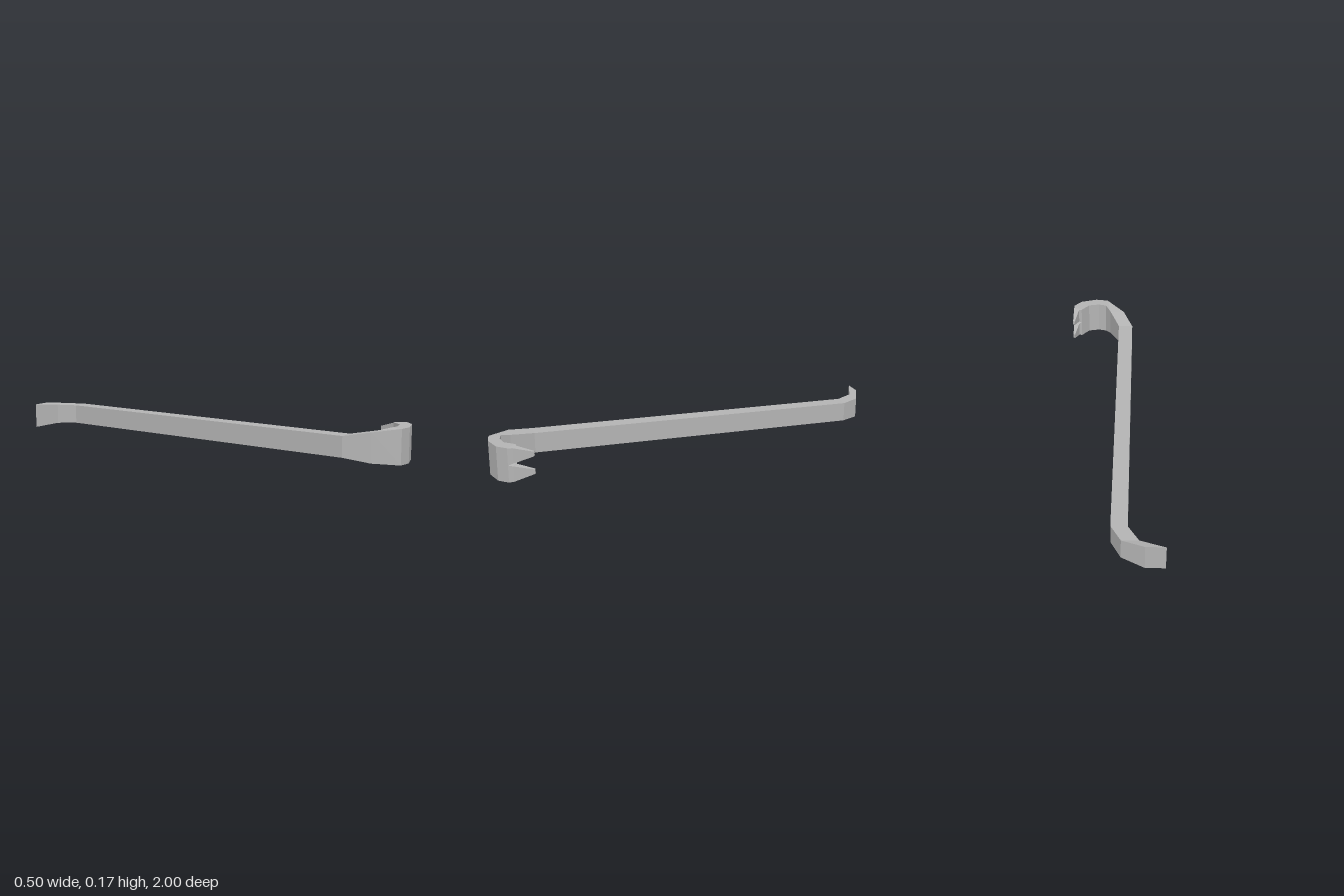
import * as THREE from 'three';

const MID_Y = 0.084;

// Lofts a four-sided bar through sections [outerX, outerZ, innerX, innerZ, low, high]
function loft(sections, startCap, endCap) {
  const rings = sections.map(([ax, az, bx, bz, low, high]) => [
    [ax, MID_Y + low, az], [bx, MID_Y + low, bz],
    [bx, MID_Y + high, bz], [ax, MID_Y + high, az],
  ]);
  const positions = [];
  const quad = (a, b, c, d) => positions.push(...a, ...b, ...c, ...a, ...c, ...d);
  for (let i = 0; i < rings.length - 1; i++) {
    for (let j = 0; j < 4; j++) {
      const k = (j + 1) % 4;
      quad(rings[i][j], rings[i][k], rings[i + 1][k], rings[i + 1][j]);
    }
  }
  if (startCap) quad(...[...rings[0]].reverse());
  if (endCap) quad(...rings[rings.length - 1]);
  const geometry = new THREE.BufferGeometry();
  geometry.setAttribute('position', new THREE.Float32BufferAttribute(positions, 3));
  geometry.computeVertexNormals();
  return geometry;
}

export function createModel() {
  const group = new THREE.Group();
  group.name = 'pryBar';
  const steel = new THREE.MeshStandardMaterial({ color: 0xb4b4b4, flatShading: true });
  steel.name = 'steel';

  const add = (name, sections, startCap = false, endCap = false) => {
    const mesh = new THREE.Mesh(loft(sections, startCap, endCap), steel);
    mesh.name = name;
    group.add(mesh);
  };
  // Section that is symmetric about the middle height
  const even = (ax, az, bx, bz, half) => [ax, az, bx, bz, -half, half];

  const shaftBack = even(-0.085, -0.862, -0.01, -0.862, 0.048);
  const shaftFront = even(-0.085, 0.765, -0.01, 0.765, 0.05);
  const hookEnd = even(0.248, 0.925, 0.205, 0.88, 0.084);

  // Bent, flared chisel end with a bevelled tip
  add('chiselEnd', [
    even(-0.25, -1, -0.16, -1, 0.0615),
    even(-0.135, -0.95, -0.057, -0.952, 0.05),
    shaftBack,
  ], true);

  add('shaft', [shaftBack, shaftFront]);

  // Curved hook, widening towards the claws
  add('hook', [
    shaftFront,
    even(-0.035, 0.885, 0.04, 0.885, 0.071),
    even(0.06, 0.988, 0.068, 0.932, 0.084),
    even(0.125, 0.997, 0.11, 0.942, 0.084),
    even(0.21, 0.97, 0.165, 0.93, 0.084),
    hookEnd,
  ]);

  // Two tapering claws either side of a V notch
  const claw = [
    [0.248, 0.925, 0.205, 0.88, 0, 0.084],
    [0.249, 0.9, 0.22, 0.88, 0.007, 0.082],
    [0.25, 0.805, 0.24, 0.8, 0.032, 0.055],
  ];
  add('upperClaw', claw, false, true);
  add('lowerClaw', claw.map(([ax, az, bx, bz, low, high]) => [ax, az, bx, bz, -high, -low]), false, true);

  return group;
}
